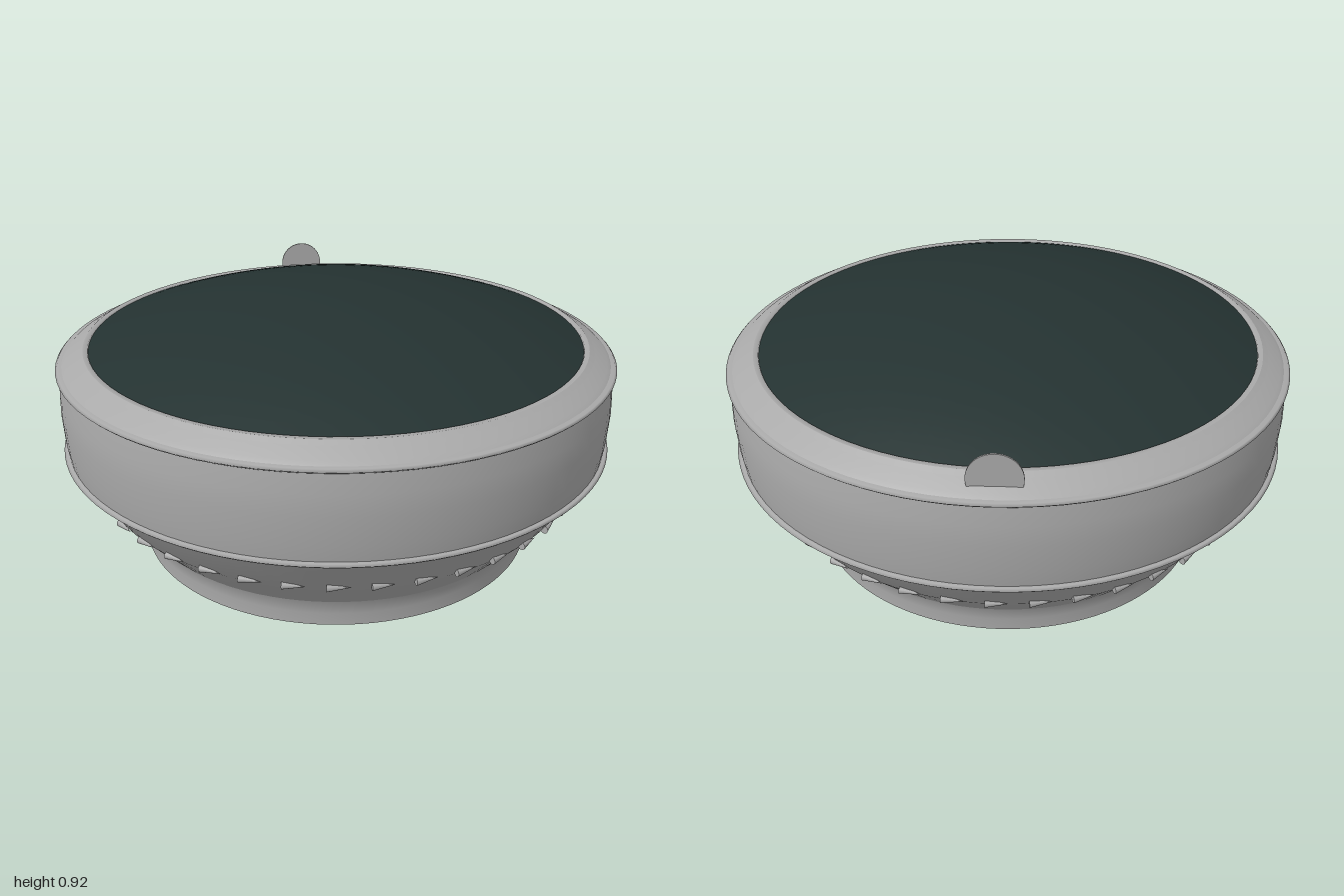
import * as THREE from 'three';

export function createModel() {
  const group = new THREE.Group();
  const metal = new THREE.MeshStandardMaterial({ color: 0xa9a9a9, side: THREE.DoubleSide });
  metal.name = 'grey metal';
  const glass = new THREE.MeshStandardMaterial({ color: 0x243231, side: THREE.DoubleSide });
  glass.name = 'dark glass';

  const add = (name, geometry, material, parent = group) => {
    const mesh = new THREE.Mesh(geometry, material);
    mesh.name = name;
    parent.add(mesh);
    return mesh;
  };
  // Each turned section is its own lathe, so edges between sections stay sharp
  const turned = (name, points, material = metal) =>
    add(name, new THREE.LatheGeometry(points.map(([r, y]) => new THREE.Vector2(r, y)), 96), material);

  // Foot and flared lower bowl
  turned('footBottom', [[0, 0], [0.73, 0]]);
  turned('foot', [[0.73, 0], [0.73, 0.045], [0.735, 0.075], [0.745, 0.1]]);
  turned('lowerBowl', [[0.745, 0.1], [0.87, 0.235], [0.975, 0.39]]);

  // Slightly bulged side band between two thin rings
  turned('sideBand', [[0.982, 0.4], [0.99, 0.46], [0.995, 0.56], [0.992, 0.63], [0.983, 0.7]]);
  for (const [name, y] of [['lowerRing', 0.397], ['upperRing', 0.706]]) {
    turned(name, [[0.97, y - 0.008], [0.993, y - 0.007], [1, y], [0.993, y + 0.007], [0.97, y + 0.008]]);
  }

  // Bevelled bezel with a groove and an inner lip
  turned('bezel', [[0.98, 0.712], [0.965, 0.724], [0.92, 0.75]]);
  turned('bezelGroove', [[0.92, 0.75], [0.902, 0.761]]);
  turned('innerLip', [[0.902, 0.761], [0.885, 0.761], [0.882, 0.752]]);

  // Shallow spherical dome
  const edge = 0.884, height = 0.16, radius = (edge * edge + height * height) / (2 * height);
  const dome = [];
  for (let i = 0; i <= 16; i++) {
    const r = edge * (1 - i / 16);
    dome.push([r, 0.915 - radius + Math.sqrt(radius * radius - r * r)]);
  }
  turned('domeGlass', dome, glass);

  // Row of small tapered studs lying around the bowl
  const studs = new THREE.Group();
  studs.name = 'studRow';
  group.add(studs);
  const studGeometry = new THREE.ConeGeometry(0.014, 0.075, 10).rotateZ(-Math.PI / 2);
  for (let i = 0; i < 40; i++) {
    const a = (i / 40) * Math.PI * 2;
    const stud = add('stud', studGeometry, metal, studs);
    stud.position.set(Math.sin(a) * 0.885, 0.25, Math.cos(a) * 0.885);
    stud.rotation.y = a;
  }

  // Thin round tab standing on the back of the bezel
  const tab = add('backTab', new THREE.CylinderGeometry(0.085, 0.085, 0.006, 40).rotateX(Math.PI / 2), metal);
  tab.position.set(0, 0.76, -0.94);

  return group;
}
